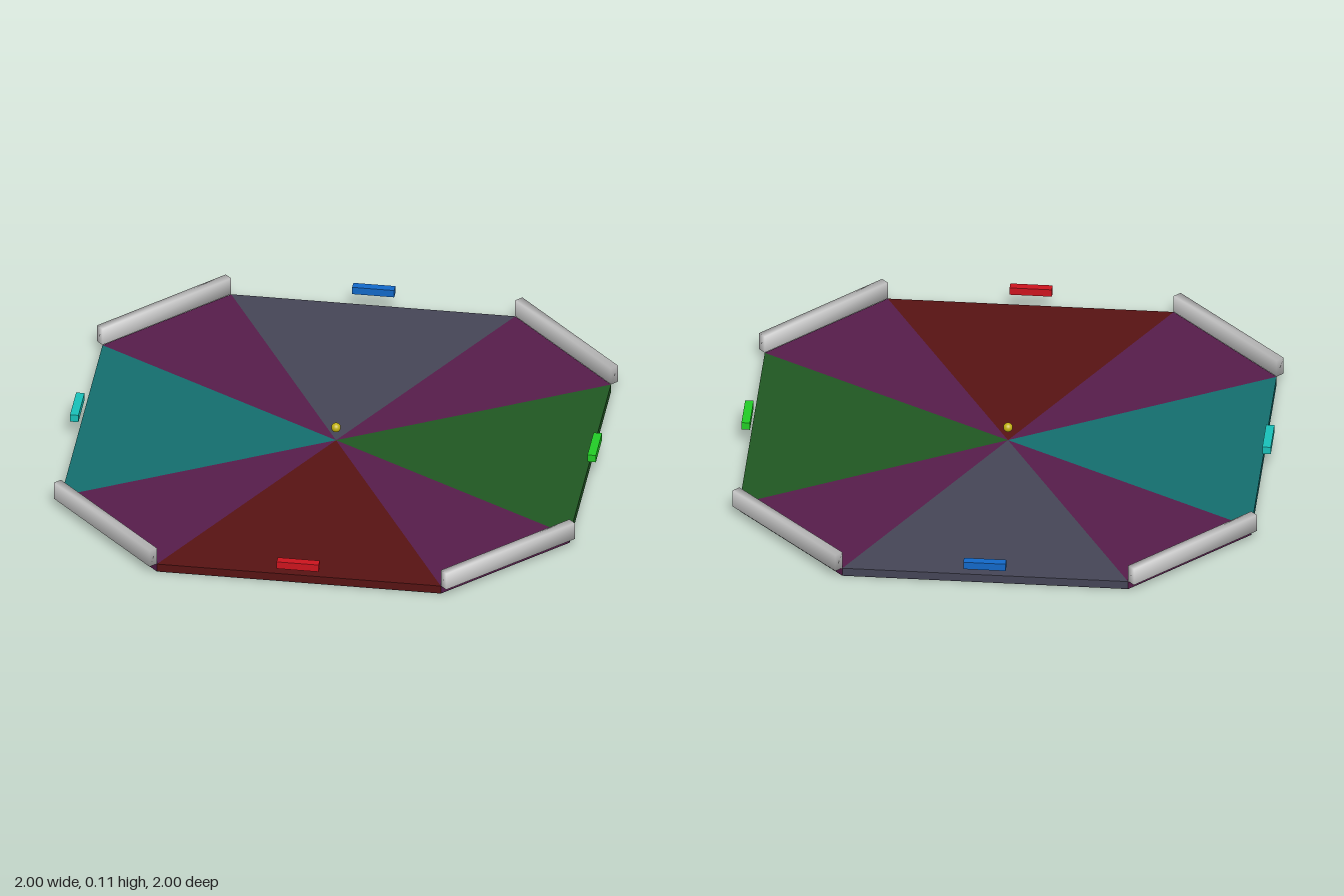
import * as THREE from 'three';
import { mergeVertices } from 'three/addons/utils/BufferGeometryUtils.js';

const A = 0.967, B = 0.54;        // octagon corner coordinates
const FLOOR = 0.033, SKIN = 0.002; // floor height, underside thickness

function addMesh(parent, name, geometry, color) {
  const mesh = new THREE.Mesh(geometry, new THREE.MeshStandardMaterial({ color }));
  mesh.name = name;
  parent.add(mesh);
  return mesh;
}

// Flat slab lying on the ground plane, from outline points (x, -z)
function slab(points, bottom, top) {
  const shape = new THREE.Shape(points.map(([x, y]) => new THREE.Vector2(x, y)));
  const geometry = new THREE.ExtrudeGeometry(shape, { depth: top - bottom, bevelEnabled: false });
  return geometry.rotateX(-Math.PI / 2).translate(0, bottom, 0);
}

// Box whose corners share softened normals
function softBox(w, h, d) {
  const box = new THREE.BoxGeometry(w, h, d);
  box.deleteAttribute('normal');
  box.deleteAttribute('uv');
  const geometry = mergeVertices(box);
  geometry.computeVertexNormals();
  return geometry;
}

export function createModel() {
  const model = new THREE.Group();
  model.name = 'octagonalArena';

  const corners = [[A, -B], [A, B], [B, A], [-B, A], [-A, B], [-A, -B], [-B, -A], [B, -A]];
  const purple = 0x561c4a;
  const sectorColors = [0x205722, purple, 0x454556, purple, 0x146e6e, purple, 0x571313, purple];

  // Dark underside and eight coloured floor sectors
  addMesh(model, 'underside', slab(corners, 0, SKIN), 0x20202a);
  const floor = new THREE.Group();
  floor.name = 'floor';
  model.add(floor);
  corners.forEach((corner, i) => {
    const next = corners[(i + 1) % 8];
    addMesh(floor, `floorSector${i + 1}`, slab([[0, 0], corner, next], SKIN, FLOOR), sectorColors[i]);
  });

  // Walls along the four diagonal sides, standing just outside the floor
  const wallLength = (A - B) * Math.SQRT2, wallDepth = 0.034;
  const wallDistance = (A + B) / Math.SQRT2 + wallDepth / 2;
  for (let i = 0; i < 4; i++) {
    const pivot = new THREE.Group();
    pivot.name = `cornerWall${i + 1}`;
    pivot.rotation.y = Math.PI / 4 + i * Math.PI / 2;
    addMesh(pivot, 'wall', softBox(wallLength, 0.07, wallDepth), 0xcccccc)
      .position.set(0, 0.069, wallDistance);
    model.add(pivot);
  }

  // Paddles on the open sides: front, left, back, right
  [0xcc141e, 0x22cc26, 0x1268c8, 0x18c0b8].forEach((color, i) => {
    const pivot = new THREE.Group();
    pivot.name = `paddle${i + 1}`;
    pivot.rotation.y = i * Math.PI / 2;
    addMesh(pivot, 'paddleBar', new THREE.BoxGeometry(0.16, 0.03, 0.032), color)
      .position.set(0, 0.09, 0.984);
    model.add(pivot);
  });

  // Ball floating over the centre
  addMesh(model, 'ball', new THREE.SphereGeometry(0.018, 24, 16), 0xc0b010).position.y = 0.09;

  return model;
}
